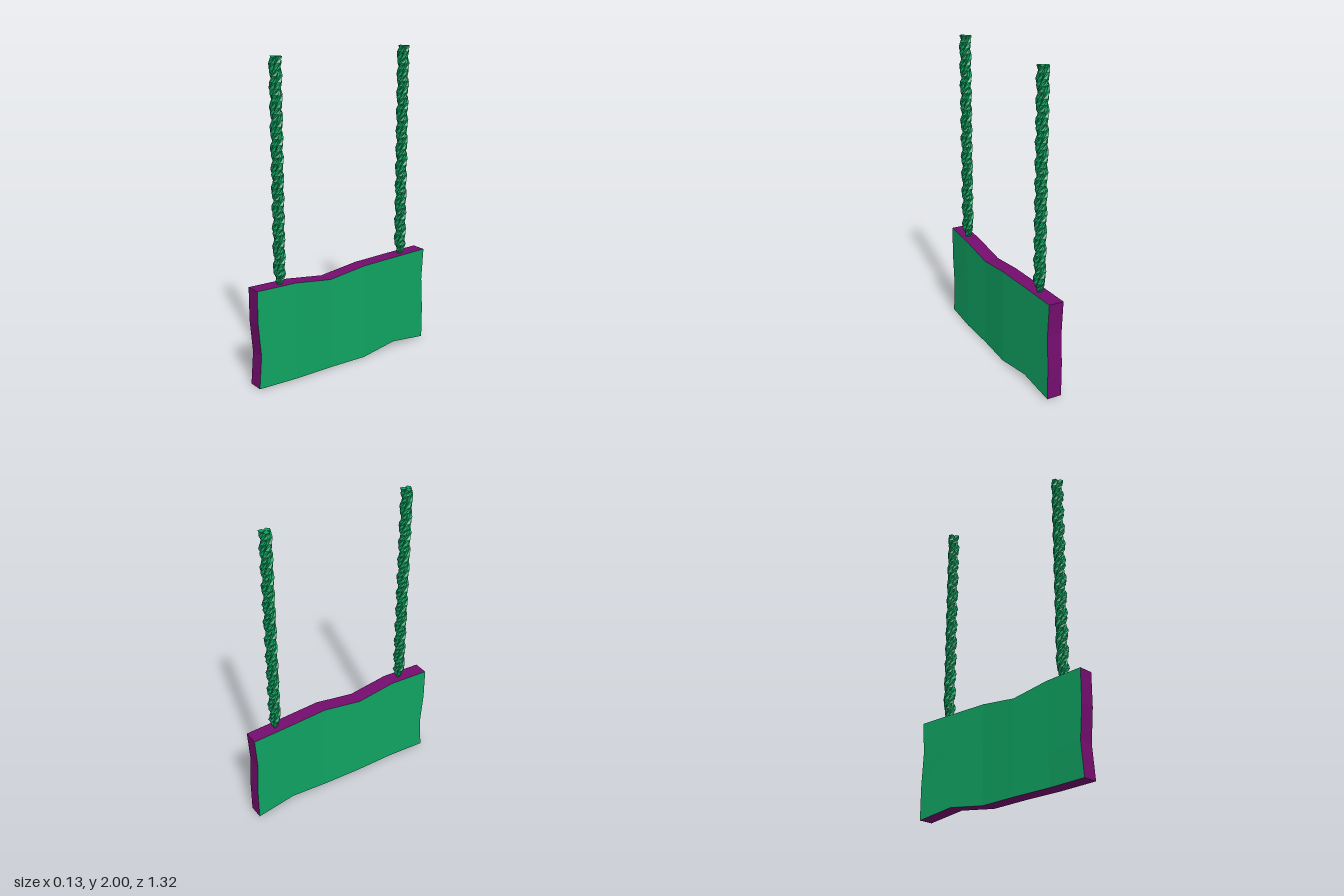
import * as THREE from 'three';

const green = new THREE.MeshStandardMaterial({ color: 0x10a362, flatShading: true });
green.name = 'green';
const purple = new THREE.MeshStandardMaterial({ color: 0x740d6e, flatShading: true });
purple.name = 'purple';

const BOARD_H = 0.635, BOARD_W = 1.315, BOARD_T = 0.097;

// Hanging board: a box bent in x along its length, with a few worn dents in its edges
function makeBoard() {
  const geo = new THREE.BoxGeometry(BOARD_T, BOARD_H, BOARD_W, 1, 3, 5);
  const bend = [-0.01, 0, 0.0125, 0.001, 0.001, -0.0165]; // from -z to +z
  const p = geo.attributes.position;
  for (let i = 0; i < p.count; i++) {
    const col = Math.round((p.getZ(i) / BOARD_W + 0.5) * 5);
    const row = Math.round((p.getY(i) / BOARD_H + 0.5) * 3);
    let y = p.getY(i) + BOARD_H / 2, z = p.getZ(i);
    if (row === 3 && col === 3) y -= 0.037;
    if (row === 0 && col === 1) y += 0.035;
    if (row === 1 && col === 5) z -= 0.018;
    if (row === 2 && col === 0) z += 0.013;
    p.setXYZ(i, p.getX(i) + bend[col], y, z);
  }
  geo.computeVertexNormals();
  const mesh = new THREE.Mesh(geo, [green, green, purple, purple, purple, purple]);
  mesh.name = 'board';
  return mesh;
}

// Rope of three twisted low-poly strands, drawn together at the lower end
function makeRope(z, name) {
  const rope = new THREE.Group();
  rope.name = name;
  const bottom = 0.625, height = 2 - bottom, pitch = 0.36;
  for (let s = 0; s < 3; s++) {
    const geo = new THREE.CylinderGeometry(0.02, 0.02, height, 5, 38);
    const p = geo.attributes.position;
    for (let i = 0; i < p.count; i++) {
      const y = p.getY(i) + height / 2;
      const a = (y / pitch + s / 3) * Math.PI * 2;
      const taper = 0.35 + 0.65 * Math.min(1, y / 0.07);
      const x = (p.getX(i) + 0.021) * taper, w = p.getZ(i) * taper;
      p.setXYZ(i, x * Math.cos(a) + w * Math.sin(a), y + bottom, w * Math.cos(a) - x * Math.sin(a));
    }
    geo.computeVertexNormals();
    const strand = new THREE.Mesh(geo, green);
    strand.name = 'ropeStrand';
    rope.add(strand);
  }
  rope.position.z = z;
  return rope;
}

export function createModel() {
  const model = new THREE.Group();
  model.name = 'hangingSign';
  model.add(makeBoard(), makeRope(0.478, 'frontRope'), makeRope(-0.478, 'backRope'));
  return model;
}
